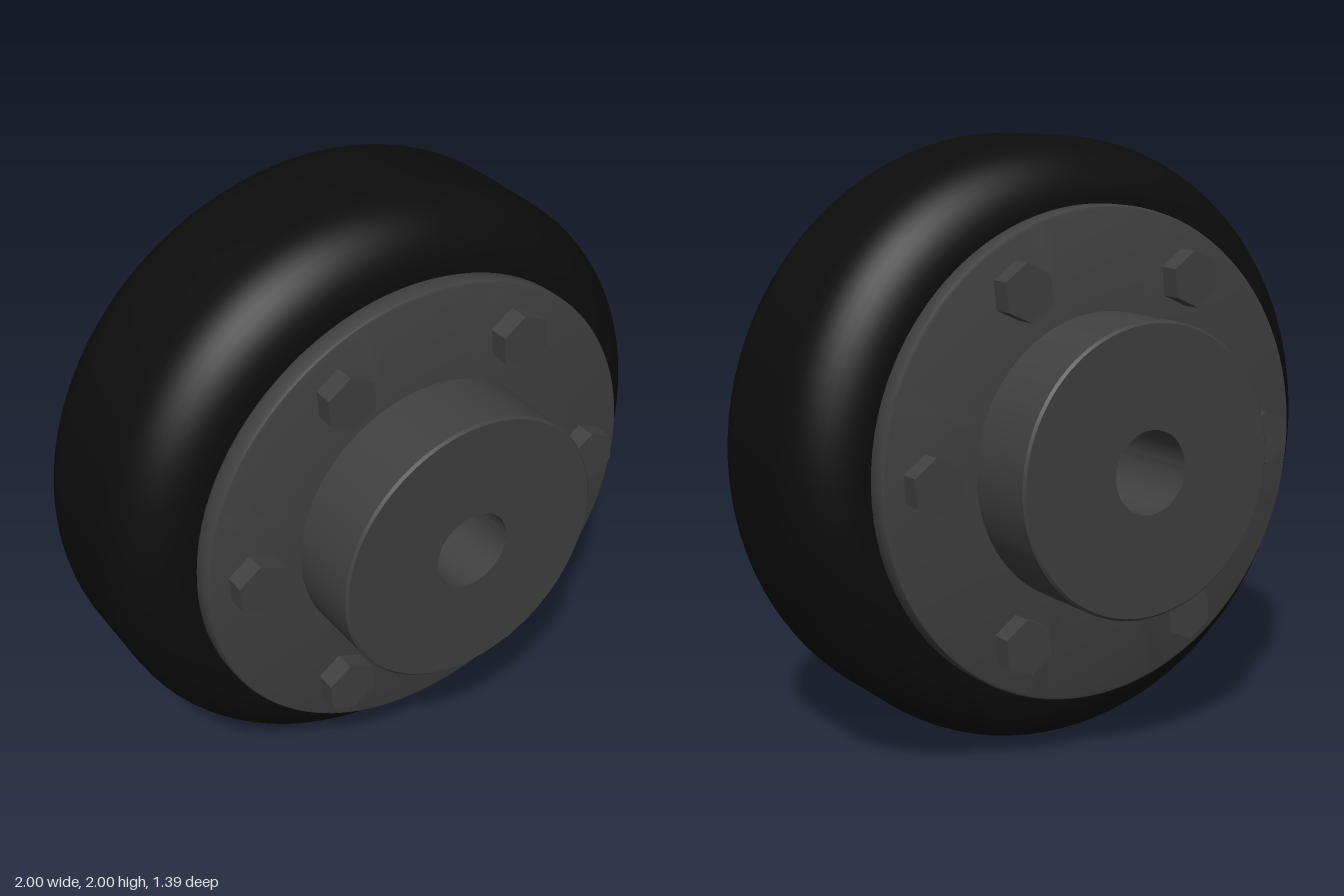
import * as THREE from 'three';
import { toCreasedNormals } from 'three/addons/utils/BufferGeometryUtils.js';

const rubber = new THREE.MeshStandardMaterial({ color: 0x0c0c0c });
rubber.name = 'black rubber';
const steel = new THREE.MeshStandardMaterial({ color: 0x404040 });
steel.name = 'dark steel';

// Closed profile of [radius, z] points, counterclockwise, turned about the z axis
function turned(name, points, material) {
  const profile = points.map(([r, z]) => new THREE.Vector2(r, z));
  profile.push(profile[0].clone());
  const geometry = new THREE.LatheGeometry(profile, 96).rotateX(Math.PI / 2);
  const mesh = new THREE.Mesh(toCreasedNormals(geometry, 0.6), material);
  mesh.name = name;
  return mesh;
}

// Quarter round of the tyre shoulder
function shoulder(side) {
  const points = [];
  for (let i = 0; i <= 12; i++) {
    const a = (i / 12) * Math.PI / 2;
    points.push([0.785 + 0.215 * Math.cos(a), side * (0.135 + 0.215 * Math.sin(a))]);
  }
  return side > 0 ? points : points.reverse();
}

// Flange, hub and six bolts of one side, facing +z
function createHubHalf() {
  const half = new THREE.Group();

  half.add(turned('flange', [
    [0.3, 0.35], [0.765, 0.35], [0.785, 0.357], [0.797, 0.378],
    [0.797, 0.425], [0.792, 0.436], [0.782, 0.44], [0.3, 0.44],
  ], steel));

  half.add(turned('hub', [
    [0.133, 0], [0.467, 0], [0.467, 0.687], [0.459, 0.695], [0.133, 0.695],
  ], steel));

  const boltGeometry = new THREE.CylinderGeometry(0.092, 0.092, 0.075, 6)
    .toNonIndexed().rotateX(Math.PI / 2).rotateZ(0.1);
  boltGeometry.computeVertexNormals();
  for (let i = 0; i < 6; i++) {
    const a = (i * Math.PI) / 3;
    const bolt = new THREE.Mesh(boltGeometry, steel);
    bolt.name = 'hexBolt';
    bolt.position.set(0.638 * Math.cos(a), 0.638 * Math.sin(a), 0.4695);
    half.add(bolt);
  }
  return half;
}

export function createModel() {
  const model = new THREE.Group();
  model.name = 'flexibleTyreCoupling';

  // Rubber tyre between the flanges
  model.add(turned('rubberTyre', [
    [0.4, -0.35], ...shoulder(-1), ...shoulder(1), [0.4, 0.35],
  ], rubber));

  // Matching halves, front and back
  const front = createHubHalf();
  front.name = 'frontHubHalf';
  const back = createHubHalf();
  back.name = 'backHubHalf';
  back.rotation.y = Math.PI;
  model.add(front, back);

  model.position.y = 1;
  const root = new THREE.Group();
  root.add(model);
  return root;
}
